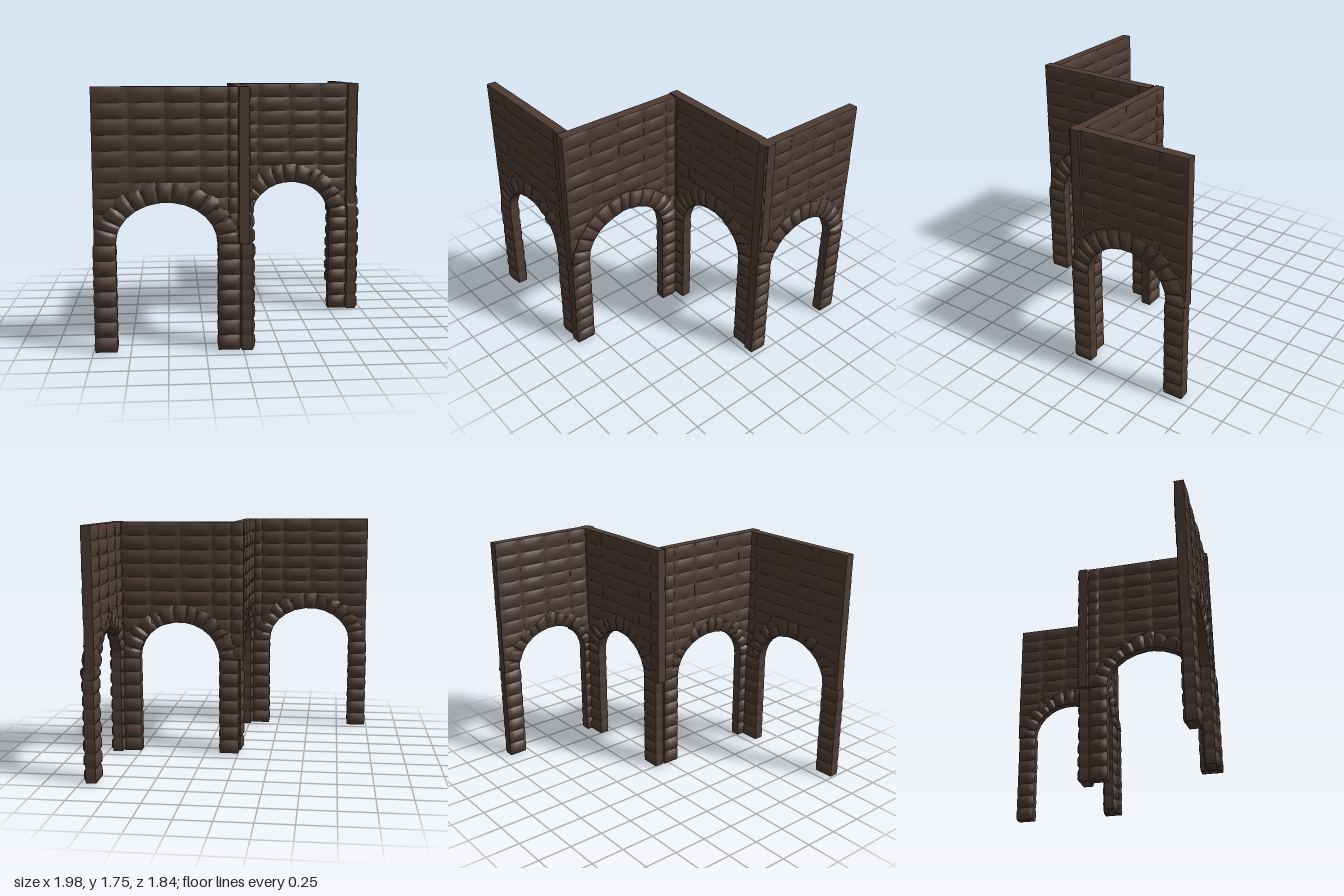
import * as THREE from 'three';
import { mergeGeometries } from 'three/addons/utils/BufferGeometryUtils.js';

const SPRING = 0.73;   // height where the arches start
const TOP = 1.76;      // top of the wall
const ROWS = 10;
const ROW = (TOP - SPRING) / ROWS;
const RISE = 0.28;     // inner height of the arch
const RING = 0.14;     // radial size of the arch stones

// Each wall runs along its own local x axis; turned walls run along -z.
const WALLS = [
  { name: 'frontWall', pos: [0, 0.85], turn: 0, legShift: 0.005, c: -0.505, rx: 0.335,
    joints: [-0.98, -0.745, -0.51, -0.28, -0.1, -0.035], legs: [[-0.985, -0.84], [-0.165, -0.022]] },
  { name: 'innerSideWall', pos: [0.005, 0], turn: 1, legShift: 0.02, c: -0.425, rx: 0.335,
    joints: [-0.905, -0.69, -0.46, -0.24, -0.04, 0.045], legs: [[-0.91, -0.765], [-0.09, 0.035]] },
  { name: 'middleWall', pos: [0, -0.088], turn: 0, legShift: 0.004, c: 0.445, rx: 0.305,
    joints: [-0.04, 0.05, 0.19, 0.43, 0.66, 0.87, 0.955], legs: [[0, 0.14], [0.75, 0.885]] },
  { name: 'outerSideWall', pos: [0.91, 0], turn: 1, legShift: 0.015, c: 0.47, rx: 0.31,
    joints: [0.04, 0.125, 0.28, 0.5, 0.72, 0.92], legs: [[0.03, 0.16], [0.775, 0.912]] },
];

export function createModel() {
  const stoneBrown = new THREE.MeshStandardMaterial({ color: 0x4e3c34 });
  stoneBrown.name = 'stoneBrown';

  let seed = 7;
  const jitter = (amount) => {
    seed = (seed * 16807) % 2147483647;
    return (seed / 2147483647 - 0.5) * 2 * amount;
  };

  // Pillow stone over a quad (bottom left, bottom right, top left, top right),
  // thin at the joints and swelling to its full half depth in the middle.
  function stone([bl, br, tl, tr], edge, full, shift = 0, belly = 0) {
    const geo = new THREE.BoxGeometry(1, 1, 1, 6, 4, 2);
    const p = geo.attributes.position;
    for (let i = 0; i < p.count; i++) {
      const u = p.getX(i), v = p.getY(i), w = p.getZ(i);
      const mix = (k) => THREE.MathUtils.lerp(
        THREE.MathUtils.lerp(bl[k], br[k], u + 0.5),
        THREE.MathUtils.lerp(tl[k], tr[k], u + 0.5), v + 0.5);
      const swell = (1 - Math.abs(2 * u) ** 4) * (1 - Math.abs(2 * v) ** 4);
      const half = edge + (full - edge) * swell;
      p.setXYZ(i, mix(0) + 2 * u * belly * (1 - 4 * v * v), mix(1), 2 * w * half + shift);
    }
    geo.computeVertexNormals();
    return geo;
  }

  // Stacked rows of bricks, cut back around the arch
  function brickwork({ joints, c, rx }) {
    const parts = [];
    const cut = (y) => {
      const t = (y - SPRING) / (RISE + RING / 2);
      return t < 1 ? (rx + RING / 2) * Math.sqrt(1 - t * t) : 0;
    };
    for (let r = 0; r < ROWS; r++) {
      const y0 = SPRING + r * ROW, y1 = y0 + ROW;
      const k0 = cut(y0), k1 = cut(y1);
      for (let j = 0; j < joints.length - 1; j++) {
        const a = joints[j], b = joints[j + 1];
        const add = (a0, b0, a1, b1) => {
          if (Math.max(b0 - a0, b1 - a1) > 0.005) {
            parts.push(stone([[a0, y0], [b0, y0], [a1, y1], [b1, y1]], 0.034, 0.046 + jitter(0.003), jitter(0.002)));
          }
        };
        if (k0 === 0) {
          add(a, b, a, b);
          continue;
        }
        const low = (k) => Math.max(a, Math.min(b, c - k));
        const high = (k) => Math.min(b, Math.max(a, c + k));
        add(a, low(k0), a, low(k1));
        add(high(k0), b, high(k1), b);
      }
    }
    return parts;
  }

  // Ring of wedge stones
  function archRing({ c, rx, legShift }) {
    const parts = [], count = 13;
    const angles = [];
    for (let i = 0; i <= count; i++) {
      angles.push(Math.PI * (1 - i / count) + (i % count ? jitter(0.035) : 0));
    }
    const at = (t, grow) => [c + (rx + grow) * Math.cos(t), SPRING + (RISE + grow) * Math.sin(t)];
    for (let i = 0; i < count; i++) {
      const outer = RING + jitter(0.006);
      const [t0, t1] = [angles[i], angles[i + 1]];
      parts.push(stone([at(t0, 0), at(t1, 0), at(t0, outer), at(t1, outer)],
        0.036, 0.059 + jitter(0.005), legShift * 0.8 + jitter(0.003)));
    }
    return parts;
  }

  // Pillar of seven stacked blocks
  function pillar([a, b], shift) {
    const parts = [], count = 7, h = (SPRING - 0.005) / count;
    for (let i = 0; i < count; i++) {
      const y0 = 0.005 + i * h, y1 = y0 + h;
      parts.push(stone([[a, y0], [b, y0], [a, y1], [b, y1]], 0.036, 0.057 + jitter(0.003), shift, 0.005));
    }
    return parts;
  }

  const model = new THREE.Group();
  model.name = 'archedWalls';
  for (const wall of WALLS) {
    const group = new THREE.Group();
    group.name = wall.name;
    const add = (name, parts) => {
      const mesh = new THREE.Mesh(mergeGeometries(parts), stoneBrown);
      mesh.name = name;
      group.add(mesh);
    };
    add('brickwork', brickwork(wall));
    add('archRing', archRing(wall));
    wall.legs.forEach((leg, i) => add(i ? 'endPillar' : 'startPillar', pillar(leg, wall.legShift)));
    group.position.set(wall.pos[0], 0, wall.pos[1]);
    group.rotation.y = wall.turn * Math.PI / 2;
    model.add(group);
  }
  return model;
}
